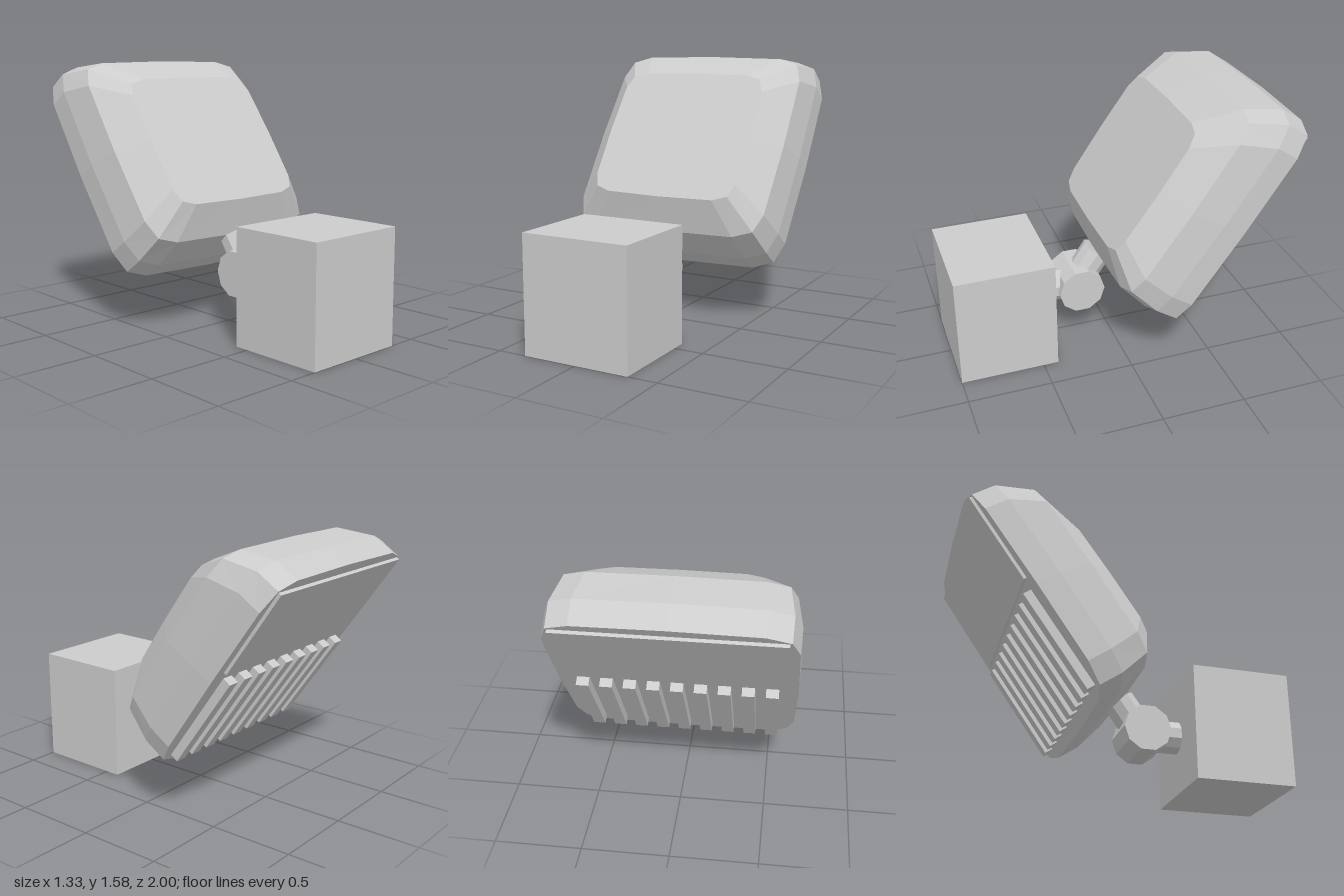
import * as THREE from 'three';

const grey = new THREE.MeshStandardMaterial({ color: 0xcccccc });
grey.name = 'light grey';

// Flat-shaded mesh: every face keeps its own normal
function part(name, geometry, x = 0, y = 0, z = 0) {
  const flat = geometry.index ? geometry.toNonIndexed() : geometry;
  flat.computeVertexNormals();
  const mesh = new THREE.Mesh(flat, grey);
  mesh.name = name;
  mesh.position.set(x, y, z);
  return mesh;
}

// Lamp shell lofted through rounded-square rings, front to back
function shellGeometry() {
  const quarter = [[1, 0], [0.985, 0.73], [0.915, 0.92], [0.73, 0.985]];
  const outline = [];
  for (let q = 0; q < 4; q++) {
    for (const [x, y] of quarter) {
      outline.push([[x, y], [-y, x], [-x, -y], [y, -x]][q]);
    }
  }
  // z, half width, bottom, top
  const rings = [
    [0.533, 0.48, 0.569, 1.434],
    [0.379, 0.635, 0.414, 1.66],
    [0.172, 0.665, 0.37, 1.772],
    [0.023, 0.66, 0.372, 1.775],
  ];
  const n = outline.length;
  const positions = [];
  const index = [];
  for (const [z, w, lo, hi] of rings) {
    for (const [x, y] of outline) {
      positions.push(x * w, (lo + hi) / 2 + (y * (hi - lo)) / 2, z);
    }
  }
  const front = positions.length / 3;
  for (const [z, , lo, hi] of [rings[0], rings[3]]) positions.push(0, (lo + hi) / 2, z);
  const last = (rings.length - 1) * n;
  for (let i = 0; i < n; i++) {
    const j = (i + 1) % n;
    for (let r = 0; r < last; r += n) {
      index.push(r + i, r + n + i, r + j, r + j, r + n + i, r + n + j);
    }
    index.push(front, i, j, front + 1, last + j, last + i);
  }
  const geometry = new THREE.BufferGeometry();
  geometry.setAttribute('position', new THREE.Float32BufferAttribute(positions, 3));
  geometry.setIndex(index);
  return geometry;
}

export function createModel() {
  const model = new THREE.Group();
  model.name = 'floodlight';

  // Mounting block
  model.add(part('mountingBlock', new THREE.BoxGeometry(0.65, 0.685, 0.59), 0, 0.3425, 0.705));

  // Horizontal arm and swivel joint
  const arm = part('mountArm', new THREE.CylinderGeometry(0.098, 0.098, 0.22, 10), 0, 0.344, 0.3);
  arm.rotation.x = Math.PI / 2;
  const joint = part('swivelJoint', new THREE.CylinderGeometry(0.142, 0.142, 0.272, 10), 0, 0.344, 0.19);
  joint.rotation.z = Math.PI / 2;
  model.add(arm, joint);

  // Lamp head, leaning back
  const head = new THREE.Group();
  head.name = 'lampHead';
  head.rotation.x = THREE.MathUtils.degToRad(-35);
  model.add(head);
  head.add(part('lampShell', shellGeometry()));
  head.add(part('headArm', new THREE.CylinderGeometry(0.096, 0.096, 0.245, 10), 0, 0.2925, 0.353));

  // Back cover plate
  head.add(part('backPlate', new THREE.BoxGeometry(1.19, 0.567, 0.04), 0, 1.4265, 0.024));

  // Cooling fins
  for (let i = -4; i <= 4; i++) {
    head.add(part('coolingFin', new THREE.BoxGeometry(0.07, 0.635, 0.07), i * 0.13, 0.768, 0.006));
  }
  return model;
}
